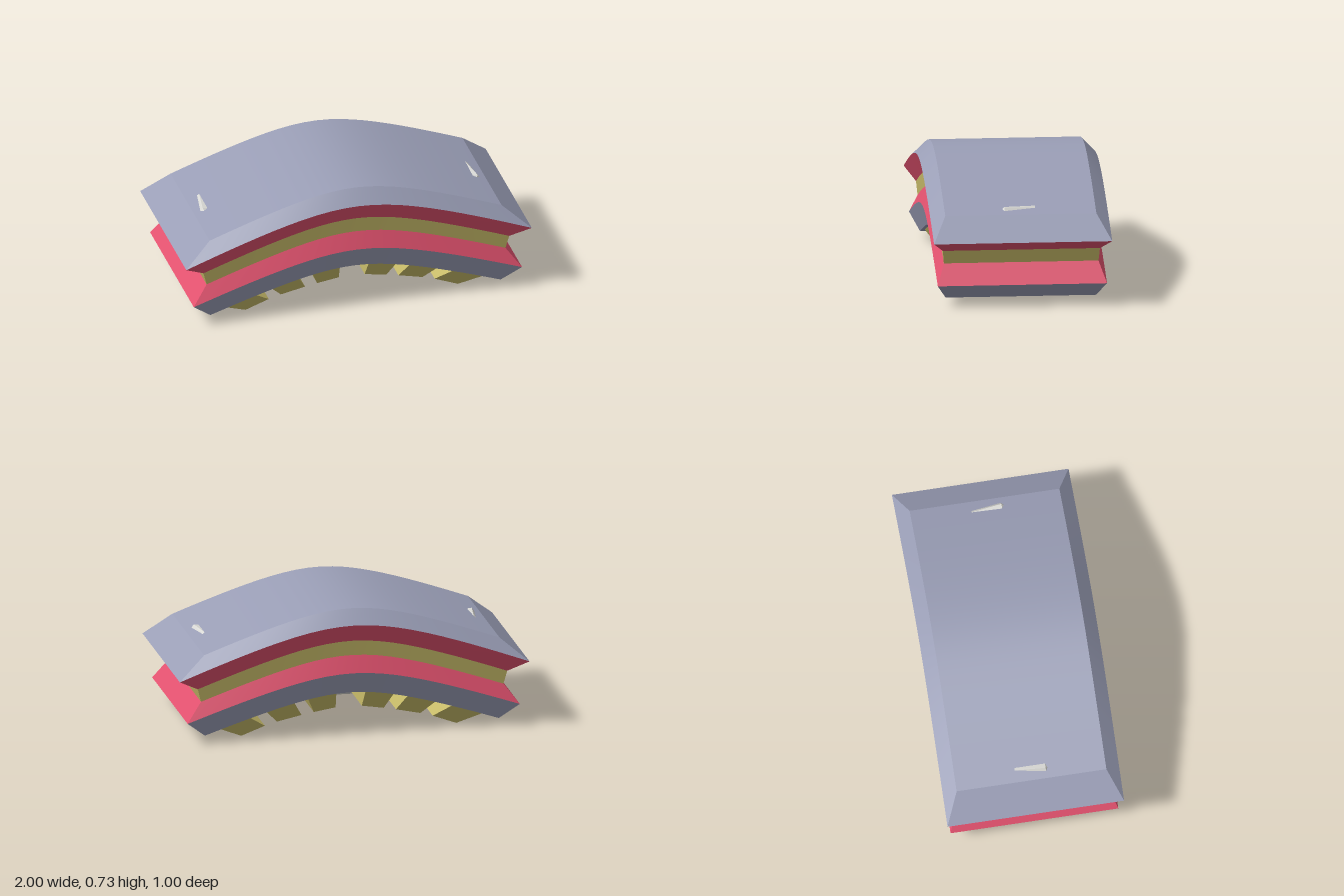
import * as THREE from 'three';
import { toCreasedNormals } from 'three/addons/utils/BufferGeometryUtils.js';
import { ConvexGeometry } from 'three/addons/geometries/ConvexGeometry.js';

const mat = (name, color) => new THREE.MeshStandardMaterial({ name, color });
const SEG = 24;

// Arch: rounded at the crown, nearly straight towards the ends (0 at centre, 1 at ends)
const K = 5;
const fall = t => (Math.sqrt(1 + K * t * t) - 1) / (Math.sqrt(1 + K) - 1);

// Arched rectangular outline, counter-clockwise from above
function ring([crownY, endX, endY, halfZ]) {
  const front = [], back = [];
  for (let i = 0; i <= SEG; i++) {
    const t = (2 * i) / SEG - 1;
    const y = crownY - (crownY - endY) * fall(t);
    front.push([t * endX, y, halfZ]);
    back.unshift([t * endX, y, -halfZ]);
  }
  return [...front, ...back];
}

function quads(list) {
  const pos = [];
  for (const [a, b, c, d] of list) pos.push(...a, ...b, ...c, ...a, ...c, ...d);
  const g = new THREE.BufferGeometry();
  g.setAttribute('position', new THREE.Float32BufferAttribute(pos, 3));
  return toCreasedNormals(g, 0.3);
}

// Side wall between two outlines
function wall(upper, lower) {
  return upper.map((p, i) => {
    const j = (i + 1) % upper.length;
    return [lower[i], lower[j], upper[j], p];
  });
}

// Face spanning one outline
function cap(r, up) {
  const out = [], last = r.length - 1;
  for (let i = 0; i < SEG; i++) {
    const q = [r[i], r[i + 1], r[last - i - 1], r[last - i]];
    out.push(up ? q : q.reverse());
  }
  return out;
}

export function createModel() {
  const group = new THREE.Group();
  const shell = mat('blueGrey', 0x9a9eb6);
  const red = mat('rosePink', 0xe3526f);
  const olive = mat('oliveYellow', 0xc6ba68);
  const pale = mat('paleGrey', 0xd8d8d4);
  const add = (name, geometry, material) => {
    const m = new THREE.Mesh(geometry, material);
    m.name = name;
    group.add(m);
  };
  const hull = pts => new ConvexGeometry(pts.map(p => new THREE.Vector3(...p)));

  // Stacked outlines: crown height, end x, end height, half depth
  const r = [
    [0.73, 0.845, 0.507, 0.424],
    [0.65, 1.0, 0.38, 0.5],
    [0.545, 0.885, 0.316, 0.441],
    [0.46, 0.865, 0.24, 0.434],
    [0.365, 0.95, 0.128, 0.475],
    [0.24, 0.84, 0.038, 0.422],
  ].map(ring);
  add('topShell', quads([...cap(r[0], true), ...wall(r[0], r[1])]), shell);
  add('upperBand', quads(wall(r[1], r[2])), red);
  add('middleBand', quads(wall(r[2], r[3])), olive);
  add('lowerBand', quads(wall(r[3], r[4])), red);
  add('bottomShell', quads([...wall(r[4], r[5]), ...cap(r[5], false)]), shell);

  // Bevelled bar running under the arch
  const bar = [];
  for (const x of [-0.62, 0.62])
    for (const s of [-1, 1])
      bar.push([x, 0.12, s * 0.05], [x, 0.16, s * 0.1], [x, 0.26, s * 0.1]);
  // keep the upper edge short so the ends stay inside the arch
  add('centreBar', hull(bar.map(([x, y, z]) => [y > 0.2 ? x * 0.6 : x, y, z])), pale);

  // Tapered cross slats: top inner, top outer, bottom outer, bottom inner
  const slats = [
    [[0.085, 0.25], [0.255, 0.23], [0.2, 0.113], [0.075, 0.133]],
    [[0.335, 0.21], [0.505, 0.17], [0.41, 0.07], [0.27, 0.1]],
    [[0.6, 0.135], [0.77, 0.075], [0.615, 0.0], [0.48, 0.05]],
  ];
  for (const s of [1, -1]) {
    const side = s > 0 ? 'left' : 'right';
    slats.forEach((section, n) => {
      const pts = section.flatMap(([x, y], i) => {
        const z = i < 2 ? 0.41 : 0.34;
        return [[s * x, y, z], [s * x, y, -z]];
      });
      add(`${side}Slat${n + 1}`, hull(pts), olive);
    });
    // Small sliver lying on the top shell
    add(`${side}Sliver`, hull([
      [s * 0.768, 0.535, 0.088], [s * 0.795, 0.538, 0.088],
      [s * 0.812, 0.516, 0.088], [s * 0.79, 0.527, 0.1],
      [s * 0.77, 0.54, -0.085], [s * 0.782, 0.53, -0.085],
    ]), pale);
  }
  return group;
}
